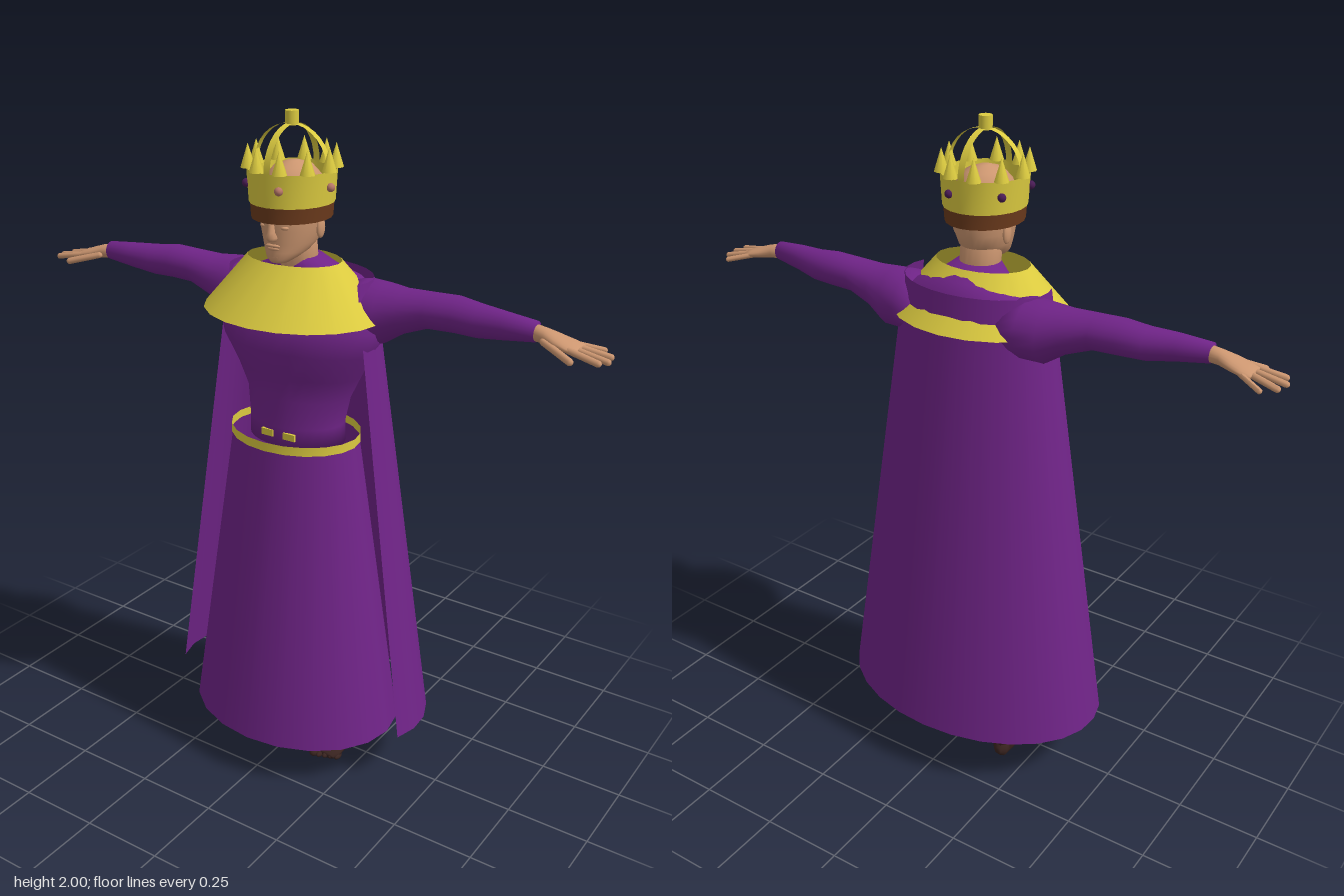
import * as THREE from 'three';

const mat = (name, color, side = THREE.FrontSide) => {
  const m = new THREE.MeshStandardMaterial({ color, side });
  m.name = name;
  return m;
};

// Skin over elliptical rings along an axis. Row: [t, u, v, ru, rv]
// axis y: t=y u=x v=z | axis x: t=x u=z v=y | axis z: t=z u=y v=x
function loft(axis, rows, { segs = 20, caps = true, start = 0, arc = Math.PI * 2 } = {}) {
  const order = { y: [1, 0, 2], x: [0, 2, 1], z: [2, 1, 0] }[axis];
  const closed = arc > 6.28;
  const n = closed ? segs : segs + 1;
  const pos = [], idx = [];
  const push = (...tuv) => {
    const p = [0, 0, 0];
    order.forEach((o, k) => { p[o] = tuv[k]; });
    pos.push(...p);
  };
  rows.forEach(([t, u, v, ru, rv]) => {
    for (let j = 0; j < n; j++) {
      const a = start + (j / segs) * arc;
      push(t, u + ru * Math.cos(a), v + rv * Math.sin(a));
    }
  });
  for (let i = 0; i < rows.length - 1; i++) {
    for (let j = 0; j < segs; j++) {
      const a = i * n + j, b = i * n + (j + 1) % n;
      idx.push(a, a + n, b, b, a + n, b + n);
    }
  }
  if (caps) {
    const first = rows[0], last = rows[rows.length - 1];
    const c = rows.length * n, top = (rows.length - 1) * n;
    push(first[0], first[1], first[2]);
    push(last[0], last[1], last[2]);
    for (let j = 0; j < segs; j++) {
      const k = (j + 1) % n;
      idx.push(c, j, k, c + 1, top + k, top + j);
    }
  }
  const g = new THREE.BufferGeometry();
  g.setAttribute('position', new THREE.Float32BufferAttribute(pos, 3));
  g.setIndex(idx);
  g.computeVertexNormals();
  return g;
}

// Copy a part to the other side of x = 0, keeping faces outward
function mirrored(geo) {
  const g = geo.clone().scale(-1, 1, 1);
  const ix = g.index.array;
  for (let i = 0; i < ix.length; i += 3) [ix[i], ix[i + 1]] = [ix[i + 1], ix[i]];
  g.computeVertexNormals();
  return g;
}

const ball = (x, y, z, rx, ry = rx, rz = rx) =>
  new THREE.SphereGeometry(1, 12, 8).scale(rx, ry, rz).translate(x, y, z);

function finger(a, b, r) {
  const A = new THREE.Vector3(...a), B = new THREE.Vector3(...b);
  const d = B.clone().sub(A);
  const g = new THREE.CapsuleGeometry(r, d.length(), 4, 8);
  g.applyQuaternion(new THREE.Quaternion().setFromUnitVectors(new THREE.Vector3(0, 1, 0), d.normalize()));
  const m = A.add(B).multiplyScalar(0.5);
  return g.translate(m.x, m.y, m.z);
}

export function createModel() {
  const model = new THREE.Group();
  model.name = 'robedKing';
  const purple = mat('purple cloth', 0x702488, THREE.DoubleSide);
  const gold = mat('gold', 0xdccb40, THREE.DoubleSide);
  const skin = mat('skin', 0xcc9670);
  const brown = mat('brown band', 0x6b3a1c, THREE.DoubleSide);
  const dark = mat('dark stocking', 0x3a2420);
  const gemRose = mat('rose gem', 0xb87868);
  const gemViolet = mat('violet gem', 0x4a1c55);

  const add = (name, geo, material, parent = model) => {
    const m = new THREE.Mesh(geo, material);
    m.name = name;
    parent.add(m);
  };
  const pair = (name, geo, material) => {
    add('left' + name, geo, material);
    add('right' + name, mirrored(geo), material);
  };
  const open = { caps: false, segs: 20 };

  // Clothing
  add('torso', loft('y', [
    [1.06, 0, 0.02, 0.152, 0.11], [1.12, 0, 0.02, 0.15, 0.112], [1.2, 0, 0.01, 0.165, 0.112],
    [1.27, 0, 0.01, 0.2, 0.118], [1.35, 0, 0.012, 0.245, 0.14], [1.42, 0, 0.002, 0.275, 0.14],
    [1.49, 0, -0.02, 0.24, 0.12], [1.54, 0, -0.03, 0.18, 0.1], [1.57, 0, -0.01, 0.11, 0.085],
    [1.605, 0, 0.01, 0.066, 0.062],
  ], { segs: 28 }), purple);
  add('skirt', loft('y', [[0.14, 0, 0.03, 0.34, 0.27], [1.07, 0, 0.03, 0.2, 0.158]], open), purple);
  add('belt', loft('y', [[1.065, 0, 0.03, 0.203, 0.162], [1.092, 0, 0.03, 0.203, 0.162]], open), gold);
  for (const x of [-0.03, 0.045]) {
    add('waistTrim', new THREE.BoxGeometry(0.04, 0.02, 0.008).translate(x, 1.097, 0.13), gold);
  }
  add('cape', loft('y', [[0.18, 0, 0, 0.43, 0.3], [1.555, 0, 0.005, 0.225, 0.152]],
    { caps: false, segs: 16, start: -Math.PI - 0.3, arc: Math.PI + 0.6 }), purple);
  add('collar', loft('y', [[1.45, 0, 0.035, 0.275, 0.225], [1.6, 0, 0.035, 0.145, 0.1]], open), gold);

  // Arms
  pair('Sleeve', loft('x', [
    [0.14, -0.035, 1.47, 0.09, 0.07], [0.2, -0.035, 1.465, 0.097, 0.086], [0.26, -0.035, 1.463, 0.085, 0.086],
    [0.32, -0.031, 1.48, 0.069, 0.064], [0.4, -0.03, 1.497, 0.057, 0.05], [0.48, -0.03, 1.5, 0.055, 0.05],
    [0.55, -0.024, 1.496, 0.047, 0.046], [0.63, -0.012, 1.5, 0.036, 0.038], [0.72, -0.005, 1.503, 0.026, 0.028],
  ]), purple);
  pair('Hand', loft('x', [
    [0.7, -0.005, 1.502, 0.021, 0.023], [0.745, -0.005, 1.497, 0.024, 0.021], [0.78, -0.005, 1.489, 0.037, 0.018],
    [0.815, -0.007, 1.481, 0.042, 0.014], [0.84, -0.008, 1.477, 0.036, 0.009],
  ]), skin);
  [
    [[0.75, 1.488, 0.02], [0.84, 1.464, 0.06], 0.01],
    [[0.82, 1.48, 0.024], [0.905, 1.465, 0.036], 0.009],
    [[0.82, 1.48, 0.002], [0.918, 1.462, 0.004], 0.009],
    [[0.82, 1.48, -0.02], [0.91, 1.462, -0.036], 0.009],
    [[0.81, 1.48, -0.038], [0.878, 1.464, -0.074], 0.008],
  ].forEach(([a, b, r], i) => pair(i ? 'Finger' + i : 'Thumb', finger(a, b, r), skin));

  // Legs and bare feet
  pair('Leg', loft('y', [
    [0.04, 0.172, -0.088, 0.03, 0.042], [0.14, 0.172, -0.082, 0.034, 0.05], [0.35, 0.155, -0.06, 0.048, 0.062],
    [0.55, 0.13, -0.03, 0.05, 0.06], [0.95, 0.085, 0.01, 0.075, 0.09],
  ], { segs: 14 }), dark);
  pair('Foot', loft('z', [
    [-0.135, 0.038, 0.172, 0.012, 0.012], [-0.12, 0.043, 0.172, 0.033, 0.026], [-0.08, 0.055, 0.17, 0.048, 0.033],
    [-0.03, 0.05, 0.165, 0.044, 0.036], [0.03, 0.034, 0.159, 0.029, 0.042], [0.075, 0.022, 0.155, 0.018, 0.045],
    [0.1, 0.018, 0.152, 0.01, 0.038],
  ], { segs: 14 }), dark);
  for (let i = 0; i < 5; i++) {
    const r = i ? 0.0095 : 0.014;
    pair('Toe' + (i + 1), ball(0.12 + i * 0.018, 0.004 + r, 0.106 - i * 0.007, r, r, 0.018), dark);
  }

  // Head
  add('neck', loft('y', [[1.55, 0, 0.015, 0.06, 0.056], [1.68, 0, 0.03, 0.058, 0.06]]), skin);
  add('head', loft('y', [
    [1.603, 0, 0.105, 0.025, 0.028], [1.615, 0, 0.092, 0.042, 0.048], [1.632, 0, 0.066, 0.058, 0.073],
    [1.655, 0, 0.05, 0.07, 0.09], [1.69, 0, 0.045, 0.079, 0.099], [1.73, 0, 0.044, 0.084, 0.103],
    [1.78, 0, 0.042, 0.085, 0.105], [1.825, 0, 0.04, 0.074, 0.09], [1.855, 0, 0.04, 0.05, 0.06],
    [1.868, 0, 0.04, 0.015, 0.018],
  ], { segs: 28 }), skin);
  add('nose', loft('y', [
    [1.666, 0, 0.14, 0.013, 0.014], [1.676, 0, 0.142, 0.017, 0.021], [1.69, 0, 0.142, 0.011, 0.017],
    [1.725, 0, 0.142, 0.008, 0.01],
  ], { segs: 12 }), skin);
  add('upperLip', ball(0, 1.652, 0.138, 0.024, 0.005, 0.007), skin);
  add('lowerLip', ball(0, 1.643, 0.135, 0.02, 0.006, 0.007), skin);
  add('chin', ball(0, 1.62, 0.122, 0.026, 0.015, 0.018), skin);
  pair('Eye', ball(0.032, 1.703, 0.13, 0.014, 0.006, 0.01), skin);
  pair('Ear', ball(0.082, 1.692, 0.028, 0.009, 0.03, 0.018), skin);

  // Crown, centred on its own axis
  const crown = new THREE.Group();
  crown.name = 'crown';
  crown.position.z = 0.045;
  model.add(crown);
  const R = 0.123;
  add('crownLining', loft('y', [[1.718, 0, 0, 0.108, 0.122], [1.765, 0, 0, 0.112, 0.124]], open), brown, crown);
  add('crownBand', loft('y', [[1.76, 0, 0, 0.116, 0.124], [1.85, 0, 0, R, 0.127]], open), gold, crown);
  for (let i = 0; i < 10; i++) {
    const a = (i / 10) * Math.PI * 2;
    add('crownPoint', new THREE.ConeGeometry(0.021, 0.066, 8)
      .translate(R * 0.97 * Math.cos(a), 1.882, R * 0.97 * Math.sin(a)), gold, crown);
  }
  for (let i = 0; i < 5; i++) {
    const a = (i / 5) * Math.PI * 2;
    add('crownGem', ball(0.124 * Math.cos(a), 1.808, 0.126 * Math.sin(a), 0.012),
      i < 2 ? gemRose : gemViolet, crown);
  }
  // Two thin crossing half hoops under a knob
  for (const turn of [0, Math.PI / 2]) {
    const hoop = new THREE.CylinderGeometry(0.12, 0.12, 0.02, 16, 1, true, Math.PI / 2, Math.PI);
    add('crownArch', hoop.rotateX(Math.PI / 2).rotateY(turn).translate(0, 1.847, 0), gold, crown);
  }
  add('crownKnob', new THREE.CylinderGeometry(0.019, 0.019, 0.038, 12).translate(0, 1.981, 0), gold, crown);
  return model;
}
